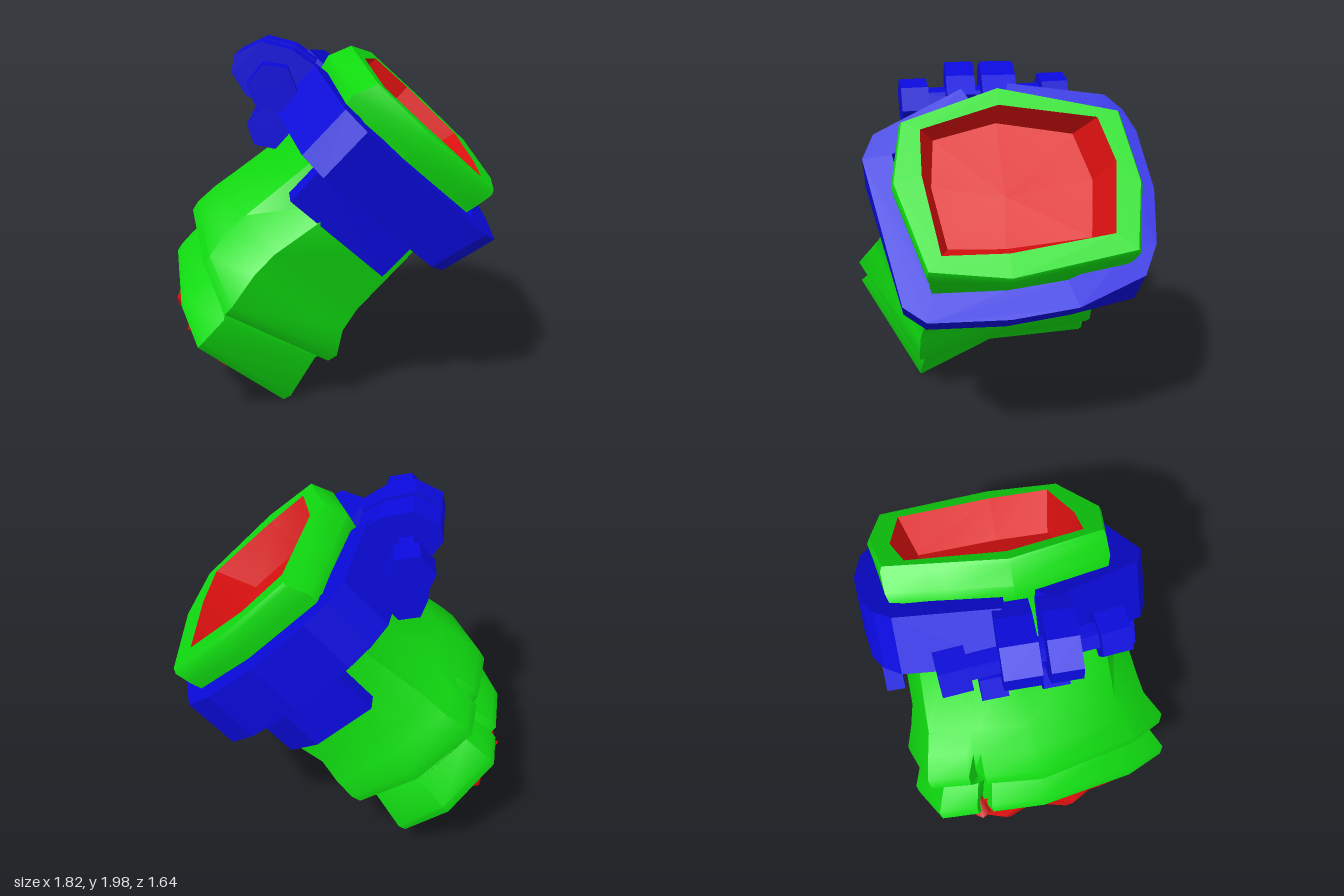
import * as THREE from 'three';
import { toCreasedNormals } from 'three/addons/utils/BufferGeometryUtils.js';

const mat = (name, color) => Object.assign(new THREE.MeshStandardMaterial({ color }), { name });

// Local frame: x = across, y = down the slope, z = along the tilted axis.
// A ring is { z, p } where p holds [y, x] points.
const ring = (z, p, k = 1, cy = -0.72, cx = -0.02) => ({
  z, p: p.map(([y, x]) => [cy + (y - cy) * k, cx + (x - cx) * k]),
});

// Adds three points on the uphill side, the middle one pushed in as a tear.
const torn = ({ z, p }, depth) => {
  const a = p[7], b = p[0];
  const cut = [0.36, 0.43, 0.5].map((f, i) => [
    a[0] + (b[0] - a[0]) * f + (i === 1 ? depth : 0), a[1] + (b[1] - a[1]) * f]);
  return { z, p: [...p, ...cut] };
};

// Skin between successive rings, running from the hollow outwards and down.
function loft(rings, crease) {
  const pos = [];
  const at = (r, j) => {
    const [y, x] = r.p[j % r.p.length];
    return [x, y, typeof r.z === 'function' ? r.z(y, j % r.p.length) : r.z];
  };
  for (let i = 0; i < rings.length - 1; i++) {
    for (let j = 0; j < rings[i].p.length; j++) {
      const a = at(rings[i], j), b = at(rings[i], j + 1);
      const c = at(rings[i + 1], j), d = at(rings[i + 1], j + 1);
      pos.push(...c, ...d, ...b, ...c, ...b, ...a);
    }
  }
  const g = new THREE.BufferGeometry();
  g.setAttribute('position', new THREE.Float32BufferAttribute(pos, 3));
  return toCreasedNormals(g, crease);
}

// Flat bar following an outer [y, x] path, thickened towards the sleeve's middle.
function strap(path, thick, z0, z1) {
  const inner = path.map(([y, x], i) => {
    const p = path[Math.max(i - 1, 0)], n = path[Math.min(i + 1, path.length - 1)];
    const dx = n[1] - p[1], dy = n[0] - p[0], l = Math.hypot(dx, dy);
    const s = Math.sign(-dy * (-0.05 - x) + dx * (-0.7 - y)) || 1;
    return [y + s * thick * dx / l, x - s * thick * dy / l];
  });
  const shape = new THREE.Shape([...path, ...inner.reverse()].map(([y, x]) => new THREE.Vector2(x, y)));
  const g = new THREE.ExtrudeGeometry(shape, { depth: z1 - z0, bevelEnabled: false });
  return g.translate(0, 0, z0);
}

// Six-sided rod between two points.
function rod(a, b, r) {
  const g = toCreasedNormals(new THREE.CylinderGeometry(r, r, a.distanceTo(b), 6), 0.3);
  const dir = b.clone().sub(a).normalize();
  g.applyQuaternion(new THREE.Quaternion().setFromUnitVectors(new THREE.Vector3(0, 1, 0), dir));
  const m = a.clone().add(b).multiplyScalar(0.5);
  return g.translate(m.x, m.y, m.z);
}

export function createModel() {
  const green = mat('green sleeve', 0x10dc10);
  const blue = mat('blue clamp', 0x0a0adc);
  const red = mat('red core', 0xdc1010);
  const root = new THREE.Group();
  root.name = 'clampedSleeve';
  const tilt = new THREE.Group();
  tilt.name = 'tiltedAssembly';
  tilt.quaternion.setFromRotationMatrix(new THREE.Matrix4().makeBasis(
    new THREE.Vector3(0, 0, 1),
    new THREE.Vector3(0.73, -0.68, 0).normalize(),
    new THREE.Vector3(0.68, 0.73, 0).normalize()));
  root.add(tilt);
  const add = (name, geo, material, parent = tilt) => {
    const m = new THREE.Mesh(geo, material);
    m.name = name;
    parent.add(m);
    return m;
  };

  // Cross-sections of the sleeve, from mouth to flared foot
  const mouth = [[-1.15, 0], [-1.01, 0.42], [-0.74, 0.42], [-0.29, 0.34], [-0.29, 0], [-0.38, -0.54], [-0.79, -0.59], [-1.06, -0.52]];
  const floor = [[-1.17, 0], [-1.07, 0.35], [-0.78, 0.37], [-0.42, 0.3], [-0.41, 0], [-0.46, -0.46], [-0.8, -0.5], [-1.09, -0.42]];
  const rim = [[-1.26, 0], [-1.06, 0.52], [-0.7, 0.57], [-0.2, 0.41], [-0.15, 0], [-0.28, -0.65], [-0.67, -0.71], [-1.1, -0.64]];
  const collar = [[-1.31, 0], [-1.11, 0.53], [-0.7, 0.57], [-0.21, 0.41], [-0.16, 0], [-0.28, -0.64], [-0.67, -0.7], [-1.15, -0.64]];
  const neck = [[-1.17, 0], [-1.02, 0.47], [-0.75, 0.59], [-0.28, 0.43], [-0.25, 0], [-0.3, -0.54], [-0.7, -0.63], [-1.07, -0.54]];
  const waist = [[-1.25, 0], [-1.08, 0.5], [-0.85, 0.68], [-0.27, 0.43], [-0.32, 0], [-0.4, -0.56], [-0.8, -0.63], [-1.14, -0.55]];
  const lip = [[-1.29, 0.03], [-1.08, 0.6], [-0.84, 0.82], [-0.17, 0.46], [-0.31, 0], [-0.38, -0.6], [-0.82, -0.7], [-1.2, -0.6]];
  const foot = [[-1.19, 0.03], [-1.01, 0.58], [-0.82, 0.82], [-0.19, 0.46], [-0.4, 0], [-0.44, -0.6], [-0.8, -0.7], [-1.15, -0.57]];
  const slope = (z) => (y) => z - 0.1 * (y + 1.18);
  const sag = (z) => (y, j) => (j === 2 ? z - 0.05 : z);

  const skin = [
    [ring(1.487, mouth)], [ring(1.487, rim, 0.99)], [ring(1.46, rim, 1.01)], [ring(1.36, collar)],
    [ring(1.28, collar, 0.97)], [ring(0.95, neck)], [ring(0.5, waist)], [ring(0.36, waist, 1.05)],
    [ring(sag(0.23), lip), 0.07], [ring(sag(0.17), lip, 0.98), 0.09], [ring(sag(0.14), lip, 0.89), 0.03],
    [ring(sag(0.12), foot, 0.91), 0.05], [ring(slope(-0.03), foot), 0.12], [ring(slope(-0.08), foot, 0.98), 0.12],
    [ring(slope(-0.07), foot, 0.86), 0.06], [ring(0, foot, 0.8)],
  ];
  add('sleeve', loft(skin.map(([r, depth = 0]) => torn(r, depth)), 0.75), green);

  // Recess inside the mouth
  add('mouthLining', loft([ring(1.26, floor, 0), ring(1.27, floor), ring(1.487, mouth)], 0.3), red);

  // Ragged core sticking out of the foot
  const fine = foot.flatMap((p, i) => {
    const n = foot[(i + 1) % foot.length];
    return [p, [(p[0] + n[0]) / 2, (p[1] + n[1]) / 2]];
  });
  const jag = (low, high) => (y, j) => (j % 2 ? low : high) - 0.04 * ((j * 7) % 3) / 2;
  const core = (z, k) => ring(z, fine, k, -0.78);
  add('raggedCore', loft([
    core(-0.02, 0.86), core(jag(-0.21, -0.1), 0.72), core(jag(-0.25, -0.15), 0.6),
    core(jag(-0.1, -0.22), 0.47), core(jag(-0.24, -0.12), 0.3), core(-0.18, 0),
  ], 0.01), red);
  // Splinter showing through the tear in the foot
  const splinter = add('splinter', new THREE.ConeGeometry(0.05, 0.16, 4), red);
  splinter.position.set(-0.33, -1.09, -0.05);
  splinter.rotation.x = Math.PI / 2;

  // Clamp band, open on the uphill side, its downhill face slanting in below
  const clamp = new THREE.Group();
  clamp.name = 'clamp';
  tilt.add(clamp);
  const band = strap([
    [-1.41, -0.08], [-1.32, -0.62], [-1.22, -0.71], [-1.08, -0.77], [-0.72, -0.82], [-0.4, -0.79], [-0.22, -0.71],
    [-0.06, -0.35], [-0.01, 0], [-0.01, 0.42], [-0.1, 0.54], [-0.95, 0.73], [-1.1, 0.67], [-1.38, 0.18],
  ], 0.16, 0.98, 1.3);
  const bp = band.attributes.position;
  for (let i = 0; i < bp.count; i++) {
    if (bp.getZ(i) < 1 && bp.getY(i) > -0.19) bp.setY(i, bp.getY(i) - 0.08);
  }
  band.computeVertexNormals();
  add('band', band, blue, clamp);

  // Side skirts hanging from the band
  add('leftSkirt', strap([[-0.98, 0.66], [-0.33, 0.54]], 0.12, 0.76, 1.0), blue, clamp);
  add('rightSkirt', strap([[-0.98, -0.74], [-0.6, -0.75], [-0.38, -0.64], [-0.31, -0.4]], 0.1, 0.71, 1.0), blue, clamp);

  // Bolting lugs with bevelled ends; shape drawn along the axis and outwards
  const lugShape = new THREE.Shape([
    [0.98, -1.34], [0.93, -1.5], [0.97, -1.64], [1.05, -1.69], [1.2, -1.63], [1.28, -1.48], [1.3, -1.34],
  ].map(([z, y]) => new THREE.Vector2(z, y)));
  for (const [x, depth, name] of [[-0.13, 0.19, 'rearLug'], [0.1, 0.16, 'frontLug']]) {
    const g = new THREE.ExtrudeGeometry(lugShape, { depth, bevelEnabled: false });
    g.rotateY(-Math.PI / 2).translate(x + depth, 0, 0);
    add(name, g, blue, clamp);
  }

  // Long upper and short lower cross bolts with hex ends
  const bolts = [
    [new THREE.Vector3(-0.44, -1.5, 1.04), new THREE.Vector3(0.52, -1.43, 1.1), 0.13, 0.16],
    [new THREE.Vector3(-0.24, -1.3, 0.86), new THREE.Vector3(0.22, -1.29, 0.87), 0.12, 0.3],
  ];
  bolts.forEach(([a, b, r, end], i) => {
    const at = (k) => a.clone().lerp(b, k);
    add('boltShaft' + i, rod(a, b, 0.075), blue, clamp);
    add('boltNut' + i, rod(a, at(end), r), blue, clamp);
    add('boltHead' + i, rod(at(1 - end), b, r), blue, clamp);
  });
  return root;
}
